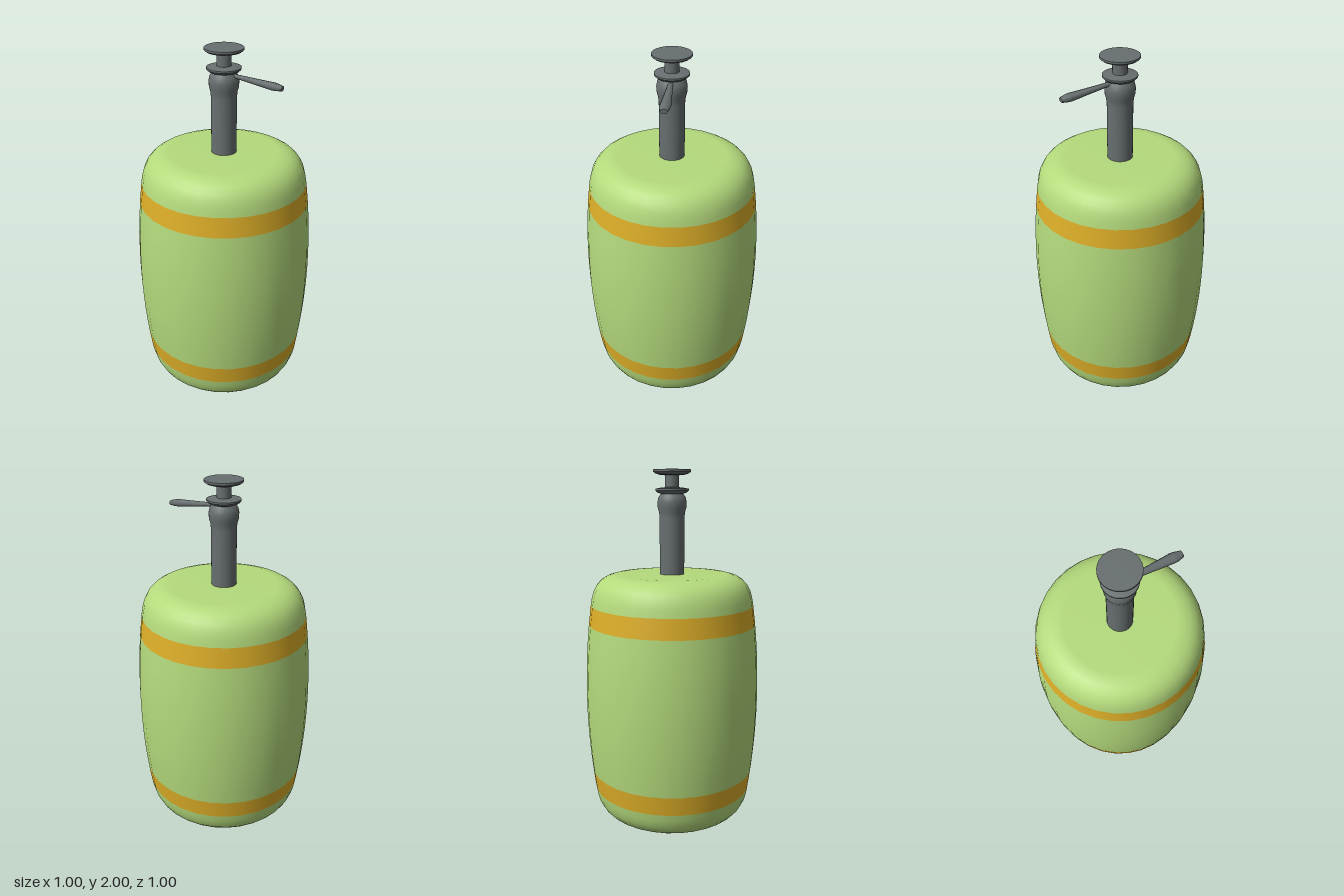
import * as THREE from 'three';

const GREEN = 0xb4da7c, GOLD = 0xddae28, GREY = 0x686f70;
const v2 = (p) => new THREE.Vector2(p[0], p[1]);

// Surface of revolution; each run of points is smooth, with a sharp edge between runs
function turned(name, runs, color, sides = 32) {
  const group = new THREE.Group();
  group.name = name;
  const material = new THREE.MeshStandardMaterial({ color });
  runs.forEach((run, i) => {
    const mesh = new THREE.Mesh(new THREE.LatheGeometry(run.map(v2), sides), material);
    mesh.name = `${name}Surface${i + 1}`;
    group.add(mesh);
  });
  return group;
}

export function createModel() {
  const model = new THREE.Group();
  model.name = 'pumpBottle';

  // Barrel sections: the rounded lower end is mirrored about mid height
  const H = 1.43;
  const lowerEnd = [[0, 0], [0.3, 0], [0.335, 0.004], [0.37, 0.014], [0.4, 0.032],
    [0.425, 0.058], [0.443, 0.092], [0.454, 0.13], [0.461, 0.17]];
  const lowerBand = [[0.461, 0.17], [0.468, 0.225], [0.475, 0.28]];
  const flip = (pts) => pts.map(([r, y]) => [r, H - y]).reverse();
  const belly = [];
  for (let i = 0; i <= 10; i++) {
    const t = i / 5 - 1;
    belly.push([0.499 - 0.024 * t * t, H / 2 + t * (H / 2 - 0.28)]);
  }
  model.add(
    turned('bottleBase', [lowerEnd], GREEN),
    turned('lowerBand', [lowerBand], GOLD),
    turned('bottleBody', [belly], GREEN),
    turned('upperBand', [flip(lowerBand)], GOLD),
    turned('bottleShoulder', [flip(lowerEnd)], GREEN),
  );

  // Pump column with flared neck
  model.add(turned('pumpColumn', [
    [[0.069, 1.42], [0.069, 1.6], [0.069, 1.74], [0.072, 1.77], [0.079, 1.795],
      [0.081, 1.825], [0.076, 1.85], [0.062, 1.87]],
  ], GREY));

  // Collar disc
  model.add(turned('pumpCollar', [
    [[0.055, 1.868], [0.08, 1.876], [0.092, 1.888]],
    [[0.092, 1.888], [0.092, 1.897]],
    [[0.092, 1.897], [0.06, 1.903], [0.038, 1.905]],
  ], GREY));

  // Plunger stem and press cap
  model.add(turned('plungerStem', [[[0.039, 1.9], [0.039, 1.975]]], GREY, 24));
  model.add(turned('pressCap', [
    [[0.039, 1.968], [0.07, 1.971], [0.092, 1.978], [0.104, 1.987]],
    [[0.104, 1.987], [0.104, 1.998]],
    [[0.104, 1.998], [0.1, 2], [0, 2]],
  ], GREY));

  // Spout: tapered paddle leaning slightly down towards +x
  const spout = turned('spout', [
    [[0.014, 0], [0.017, 0.06], [0.023, 0.15], [0.029, 0.235], [0.028, 0.25], [0.019, 0.287]],
    [[0.019, 0.287], [0, 0.287]],
  ], GREY, 8);
  spout.scale.set(0.7, 1, 1);
  spout.position.set(0.05, 1.859, 0);
  spout.rotation.z = -Math.PI / 2 - 0.092;
  model.add(spout);

  return model;
}
